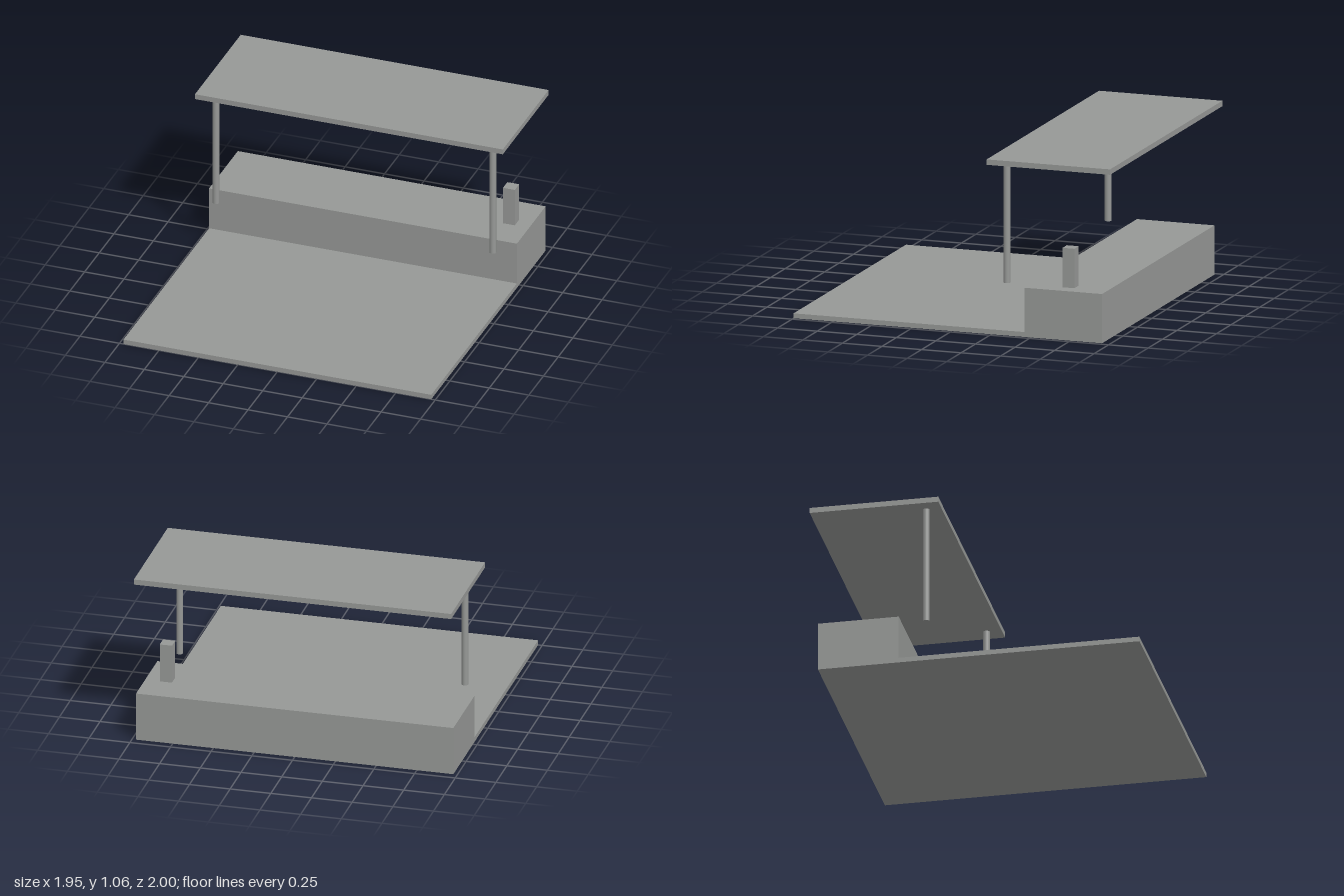
import * as THREE from 'three';

export function createModel() {
  const model = new THREE.Group();
  const concrete = new THREE.MeshStandardMaterial({ color: 0x969896 });
  concrete.name = 'concrete grey';

  const add = (name, geometry, x, y, z) => {
    const mesh = new THREE.Mesh(geometry, concrete);
    mesh.name = name;
    mesh.position.set(x, y, z);
    model.add(mesh);
  };
  // Box given by its lower and upper corners
  const block = (name, [x0, y0, z0], [x1, y1, z1]) =>
    add(name, new THREE.BoxGeometry(x1 - x0, y1 - y0, z1 - z0),
      (x0 + x1) / 2, (y0 + y1) / 2, (z0 + z1) / 2);

  const half = 0.975;

  // Thin forecourt and the raised platform behind it
  block('groundSlab', [-half, 0, -0.46], [half, 0.03, 1]);
  block('platform', [-half, 0, -0.95], [half, 0.3, -0.46]);

  // Small post standing on the platform
  block('post', [0.81, 0.3, -0.742], [0.885, 0.54, -0.667]);

  // Flat roof and the two round columns that hang below its front edge
  block('roof', [-half, 1.03, -1], [half, 1.063, -0.22]);
  for (const [name, side] of [['leftColumn', 1], ['rightColumn', -1]]) {
    add(name, new THREE.CylinderGeometry(0.0205, 0.0205, 0.73, 16), side * 0.877, 0.665, -0.313);
  }

  return model;
}
